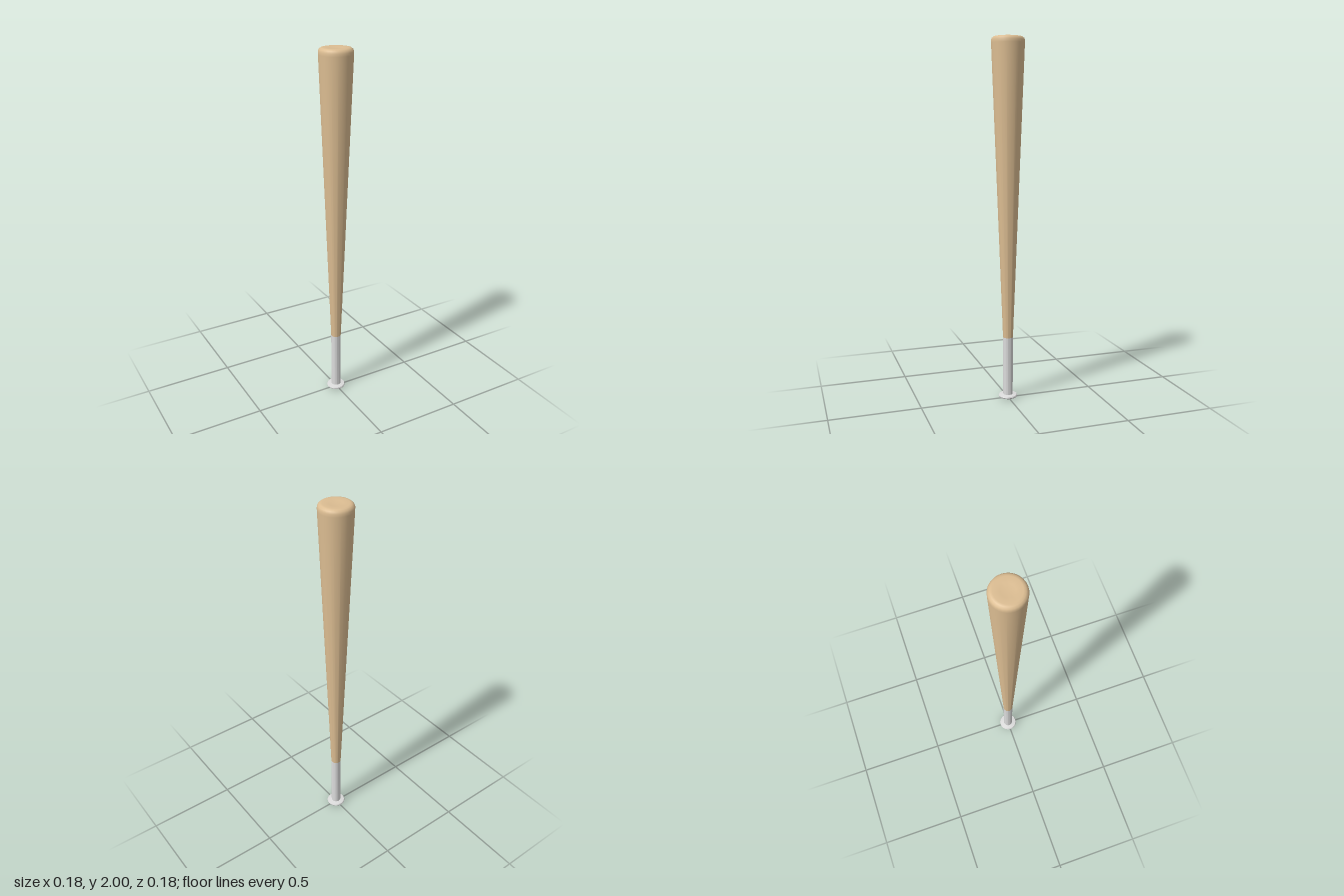
import * as THREE from 'three';
import { toCreasedNormals } from 'three/addons/utils/BufferGeometryUtils.js';

const SEGMENTS = 32;

// Revolve a bottom-to-top profile of [radius, height] pairs
function turned(name, profile, material) {
  const points = profile.map(([r, y]) => new THREE.Vector2(r, y));
  const geometry = toCreasedNormals(new THREE.LatheGeometry(points, SEGMENTS), 0.6);
  const mesh = new THREE.Mesh(geometry, material);
  mesh.name = name;
  return mesh;
}

export function createModel() {
  const wood = new THREE.MeshStandardMaterial({ color: 0xdcbd92 });
  wood.name = 'wood';
  const gripGrey = new THREE.MeshStandardMaterial({ color: 0xdcdcdc });
  gripGrey.name = 'grip grey';

  const bat = new THREE.Group();
  bat.name = 'bat';

  // Flared end knob with a bevelled rim
  bat.add(turned('knob', [
    [0, 0], [0.042, 0.003], [0.051, 0.008], [0.053, 0.013],
    [0.05, 0.019], [0.027, 0.022],
  ], gripGrey));

  // Wrapped handle
  bat.add(turned('grip', [[0.027, 0.018], [0.028, 0.355]], gripGrey));

  // Tapered barrel with rounded shoulder and shallow dished end
  bat.add(turned('barrel', [
    [0.028, 0.355], [0.09, 1.965], [0.09, 1.98], [0.086, 1.991],
    [0.077, 1.998], [0.066, 2], [0.035, 1.997], [0, 1.995],
  ], wood));

  return bat;
}
